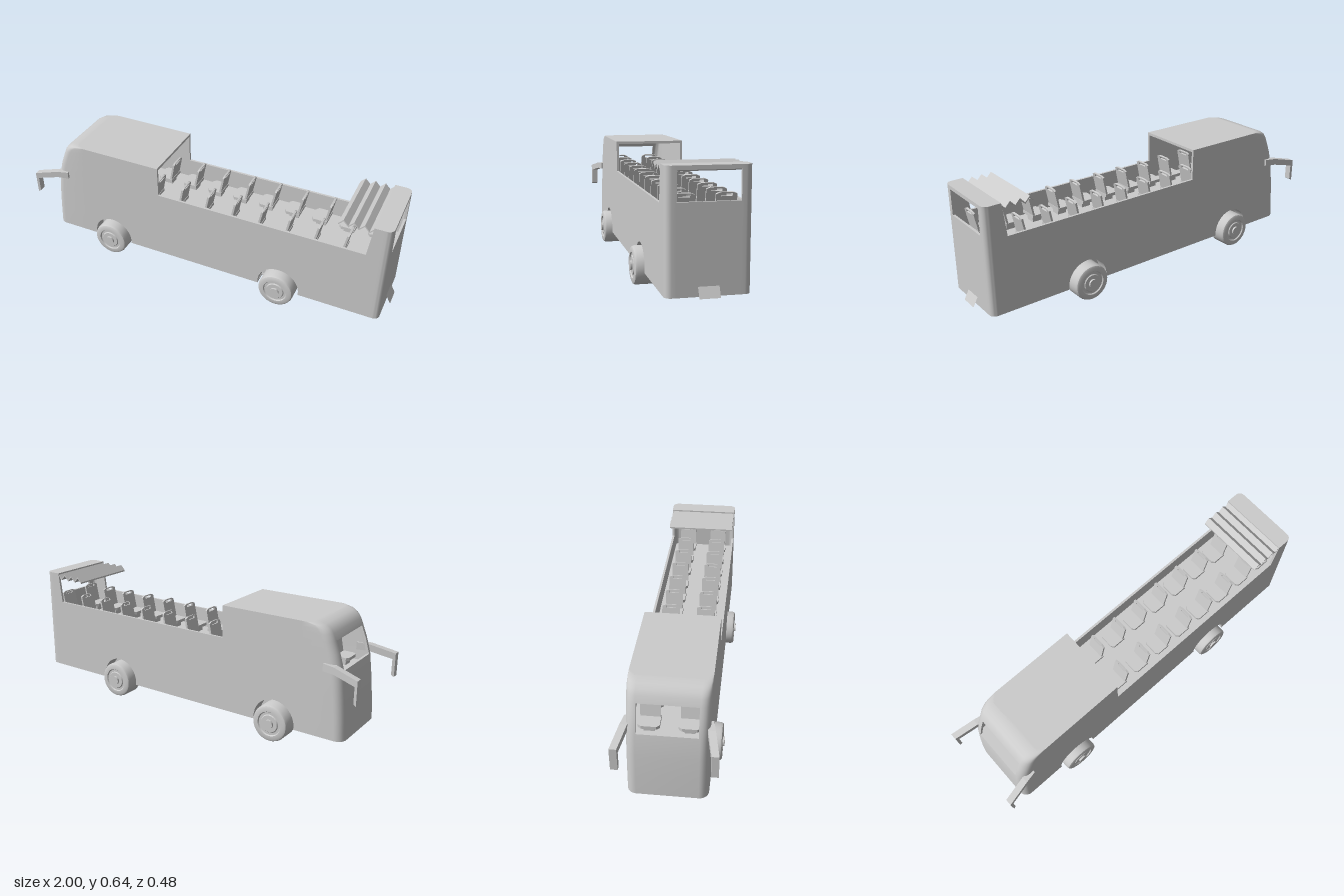
import * as THREE from 'three';
import { toCreasedNormals } from 'three/addons/utils/BufferGeometryUtils.js';

const W = 0.19, T = 0.012;            // half width, wall thickness
const BOTTOM = 0.08, RAIL = 0.47, TOP = 0.637;
const AXLES = [-0.555, 0.437], WHEEL_Y = 0.096, ARCH = 0.113;
const REAR_X = 0.975;
const mat = new THREE.MeshStandardMaterial({ color: 0xcccccc });
const thin = new THREE.MeshStandardMaterial({ color: 0xcccccc, side: THREE.DoubleSide });

function add(parent, name, geo, material = mat) {
  const m = new THREE.Mesh(geo, material);
  m.name = name;
  parent.add(m);
  return m;
}
const shapeOf = pts => new THREE.Shape(pts.map(p => new THREE.Vector2(p[0], p[1])));
const extrude = (shape, depth) =>
  new THREE.ExtrudeGeometry(shape, { depth, bevelEnabled: false, curveSegments: 20 });

// Plan outline [x, z] of one rounded end, from z = -W round to z = +W
function endOutline(s, xf, xs, r, inset = 0) {
  const w = W - inset, rr = r - inset, x0 = xf - s * inset, half = [[xs, w]];
  for (let i = 0; i <= 6; i++) {
    const a = (i / 6) * Math.PI / 2;
    half.push([x0 - s * rr * (1 - Math.sin(a)), w - rr * (1 - Math.cos(a))]);
  }
  half.push([x0, 0.14]);
  return [...half.map(([x, z]) => [x, -z]), ...half.reverse()];
}

// Closed wall of constant thickness lofted through [y, x] levels, with a window in the middle column
function endWall(s, levels, xs, r, winLow, winHigh) {
  const rows = [0, T].map(inset => levels.map(([y, x]) =>
    endOutline(s, x, xs, r, inset).map(([px, pz]) => [px, y, pz])));
  const nu = rows[0][0].length - 1, nv = levels.length - 1, mid = (nu - 1) / 2, pos = [];
  const kept = (i, j) => i >= 0 && j >= 0 && i < nu && j < nv &&
    !(i === mid && levels[j][0] >= winLow && levels[j + 1][0] <= winHigh);
  const quad = (a, b, c, d) => {
    const q = s > 0 ? [a, c, b, a, d, c] : [a, b, c, a, c, d];
    q.forEach(p => pos.push(...p));
  };
  for (let j = 0; j < nv; j++) for (let i = 0; i < nu; i++) {
    if (!kept(i, j)) continue;
    const ring = [[i, j], [i + 1, j], [i + 1, j + 1], [i, j + 1]];
    const o = ring.map(([u, v]) => rows[0][v][u]), n = ring.map(([u, v]) => rows[1][v][u]);
    quad(o[0], o[1], o[2], o[3]);
    quad(n[3], n[2], n[1], n[0]);
    [[i, j - 1], [i + 1, j], [i, j + 1], [i - 1, j]].forEach(([u, v], k) => {
      const k2 = (k + 1) % 4;
      if (!kept(u, v)) quad(o[k2], o[k], n[k], n[k2]);
    });
  }
  const g = new THREE.BufferGeometry();
  g.setAttribute('position', new THREE.Float32BufferAttribute(pos, 3));
  return toCreasedNormals(g, 0.6);
}

// Horizontal slab from a plan outline, its upper face at y
function slab(outline, y, depth) {
  return extrude(shapeOf(outline), depth).rotateX(Math.PI / 2).translate(0, y, 0);
}

function buildBody(g) {
  const nose = [[0.08, -0.925], [0.2, -0.916], [0.3, -0.906], [0.42, -0.89], [0.5, -0.866],
    [0.557, -0.843], [0.59, -0.829], [0.613, -0.812], [0.628, -0.788], [TOP, -0.75]];
  add(g, 'noseShell', endWall(-1, nose, -0.69, 0.045, 0.42, 0.557));
  const rear = [BOTTOM, 0.485, 0.618, TOP].map(y => [y, REAR_X]);
  add(g, 'rearWall', endWall(1, rear, 0.93, 0.03, 0.485, 0.618));

  // Side walls with wheel arches, low middle rail and slanted rear pillar
  const side = new THREE.Shape();
  side.moveTo(-0.69, BOTTOM);
  const dip = Math.asin((WHEEL_Y - BOTTOM) / ARCH);
  AXLES.forEach(x => {
    side.lineTo(x - ARCH * Math.cos(dip), BOTTOM);
    side.absarc(x, WHEEL_Y, ARCH, Math.PI + dip, -dip, true);
  });
  [[0.93, BOTTOM], [0.93, TOP], [0.885, TOP], [0.865, RAIL], [-0.25, RAIL], [-0.25, TOP], [-0.69, TOP]]
    .forEach(p => side.lineTo(...p));
  for (const s of [-1, 1])
    add(g, s > 0 ? 'leftWall' : 'rightWall', extrude(side, T).translate(0, 0, s > 0 ? W - T : -W));

  // Roofs
  const frontRoof = endOutline(-1, -0.75, -0.25, 0.045, 0.001);
  add(g, 'frontRoof', slab(frontRoof, TOP, 0.014));
  add(g, 'rearRoof', slab(endOutline(1, REAR_X, 0.885, 0.03, 0.001), TOP, 0.016));

  // Passenger floor
  const rearEnd = endOutline(1, REAR_X, 0.9, 0.03, 0.006).reverse();
  add(g, 'floor', slab([...endOutline(-1, -0.898, -0.7, 0.045, 0.006), ...rearEnd], 0.365, 0.015));

  // Underside, notched at the wheels
  const notches = [];
  AXLES.forEach(x => notches.push([x - ARCH, W - 0.001], [x - ARCH, 0.125], [x + ARCH, 0.125], [x + ARCH, W - 0.001]));
  const under = [...endOutline(-1, -0.925, -0.7, 0.045, 0.001), ...notches,
    ...endOutline(1, REAR_X, 0.93, 0.03, 0.001).reverse(), ...notches.map(([x, z]) => [x, -z]).reverse()];
  add(g, 'underside', slab(under, BOTTOM + 0.01, 0.01));

  // Pleated folding cover at the rear
  const zig = [];
  for (let i = 0; i <= 7; i++) zig.push([0.712 + i * 0.0255, i % 2 ? 0.627 : 0.6]);
  const cover = [...zig, ...zig.map(([x, y]) => [x, y + 0.008]).reverse()];
  add(g, 'foldingCover', extrude(shapeOf(cover), 0.372).translate(0, 0, -0.186));

  // Sloped one-sided rear plate
  const plate = new THREE.PlaneGeometry(0.094, 0.056).rotateY(Math.PI / 2).rotateZ(0.49);
  add(g, 'rearPlate', plate.translate(0.987, 0.102, 0));
}

function buildSeats(g) {
  const back = shapeOf([[-0.047, 0], [0.047, 0], [0.047, 0.112], [0.028, 0.12], [-0.028, 0.12], [-0.047, 0.112]]);
  back.holes.push(new THREE.Path([[-0.026, 0.102], [-0.026, 0.114], [0.026, 0.114], [0.026, 0.102]]
    .map(p => new THREE.Vector2(...p))));
  const backGeo = extrude(back, 0.01).rotateY(Math.PI / 2).rotateZ(-0.2).translate(-0.029, 0.397, 0);
  const cushion = shapeOf([[-0.014, -0.05], [-0.014, 0.05], [-0.085, 0.05], [-0.097, 0.035], [-0.097, -0.035], [-0.085, -0.05]]);
  const cushionGeo = slab(cushion.getPoints().map(p => [p.x, p.y]), 0.41, 0.016);
  const baseGeo = new THREE.BoxGeometry(0.05, 0.035, 0.05).translate(-0.05, 0.38, 0);
  for (let i = 0; i < 12; i++) for (const s of [-1, 1]) {
    const seat = new THREE.Group();
    seat.name = 'seat';
    seat.position.set(-0.728 + i * 0.149, 0, s * 0.093);
    add(seat, 'seatBack', backGeo);
    add(seat, 'seatCushion', cushionGeo);
    add(seat, 'seatBase', baseGeo);
    g.add(seat);
  }
}

function buildWheels(g) {
  const profile = [[0, 0.137], [0.095, 0.137], [0.095, 0.218], [0.091, 0.228], [0.083, 0.232], [0.064, 0.232],
    [0.06, 0.226], [0.048, 0.226], [0.044, 0.231], [0.023, 0.231], [0.023, 0.241], [0, 0.241]];
  const wheelGeo = toCreasedNormals(
    new THREE.LatheGeometry(profile.map(p => new THREE.Vector2(...p)), 28).rotateX(Math.PI / 2), 0.6);
  // Arch liner: half tube and an inner wall
  const liner = new THREE.CylinderGeometry(ARCH, ARCH, 0.064, 24, 1, true, Math.PI / 2, Math.PI)
    .rotateX(Math.PI / 2).translate(0, 0, 0.157);
  const cap = new THREE.CircleGeometry(ARCH, 24, 0, Math.PI).translate(0, 0, 0.125);
  for (const x of AXLES) for (const s of [0, 1]) {
    const unit = new THREE.Group();
    unit.name = (s ? 'right' : 'left') + (x < 0 ? 'Front' : 'Rear') + 'Wheel';
    unit.position.set(x, WHEEL_Y, 0);
    unit.rotation.y = s * Math.PI;
    add(unit, 'wheel', wheelGeo);
    add(unit, 'archLiner', liner, thin);
    add(unit, 'archInnerWall', cap, thin);
    g.add(unit);
  }
}

function buildMirrors(g) {
  const arm = shapeOf([[-0.81, 0.458], [-0.87, 0.455], [-1, 0.425], [-1, 0.303], [-0.986, 0.312],
    [-0.986, 0.395], [-0.87, 0.42], [-0.81, 0.42]]);
  for (const s of [-1, 1]) {
    const geo = extrude(arm, 0.034).translate(0, 0, s > 0 ? 0 : -0.034);
    const p = geo.attributes.position;
    // Splay the arm outward toward its tip
    for (let i = 0; i < p.count; i++) p.setZ(i, p.getZ(i) + s * (0.205 - (p.getX(i) + 1) * 0.2));
    geo.computeVertexNormals();
    add(g, s > 0 ? 'leftMirror' : 'rightMirror', geo);
  }
}

export function createModel() {
  const g = new THREE.Group();
  g.name = 'openTopBus';
  buildBody(g);
  buildSeats(g);
  buildWheels(g);
  buildMirrors(g);
  return g;
}
